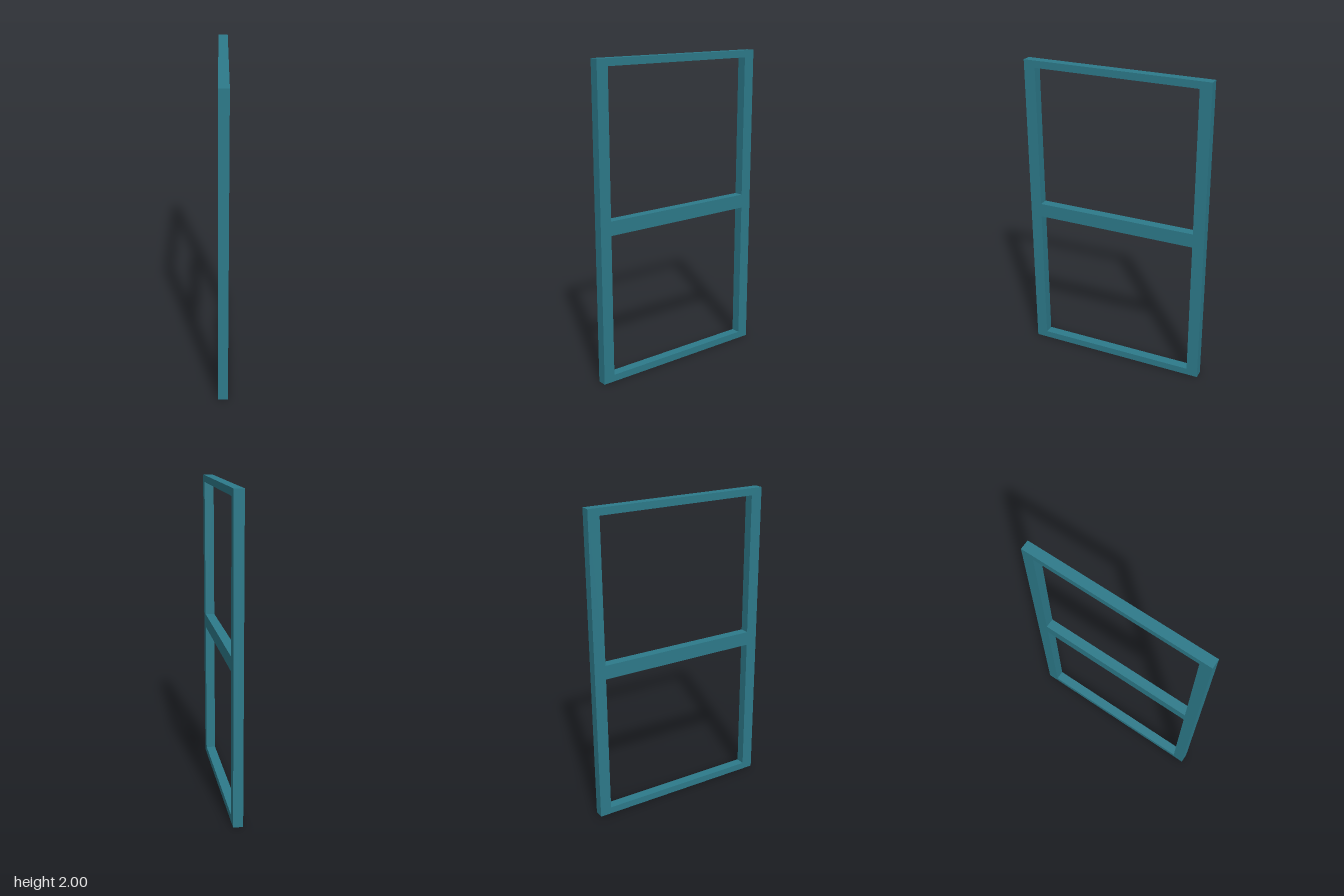
import * as THREE from 'three';

const HALF_WIDTH = 0.602, INNER_HALF = 0.528, HEIGHT = 2, THICKNESS = 0.061;

// Trace a rectangle onto a shape or path
function rect(path, x0, y0, x1, y1) {
  path.moveTo(x0, y0);
  path.lineTo(x1, y0);
  path.lineTo(x1, y1);
  path.lineTo(x0, y1);
  path.closePath();
  return path;
}

export function createModel() {
  const model = new THREE.Group();
  model.name = 'windowFrame';
  const teal = new THREE.MeshStandardMaterial({ color: 0x2d7a8a });
  teal.name = 'teal';

  // Outer outline with an upper and a lower opening, leaving a middle rail
  const outline = rect(new THREE.Shape(), -HALF_WIDTH, 0, HALF_WIDTH, HEIGHT);
  for (const [bottom, top] of [[0.045, 0.955], [1.045, 1.955]]) {
    outline.holes.push(rect(new THREE.Path(), -INNER_HALF, bottom, INNER_HALF, top));
  }

  // Extrude to the frame thickness and turn it to face sideways
  const geometry = new THREE.ExtrudeGeometry(outline, { depth: THICKNESS, bevelEnabled: false });
  geometry.translate(0, 0, -THICKNESS / 2);
  geometry.rotateY(Math.PI / 2);

  // Very slight lean towards +x at the top
  const pos = geometry.attributes.position;
  for (let i = 0; i < pos.count; i++) {
    pos.setX(i, pos.getX(i) + 0.0025 * (pos.getY(i) - HEIGHT / 2));
  }
  geometry.computeVertexNormals();

  const frame = new THREE.Mesh(geometry, teal);
  frame.name = 'frameWithMiddleRail';
  model.add(frame);
  return model;
}
